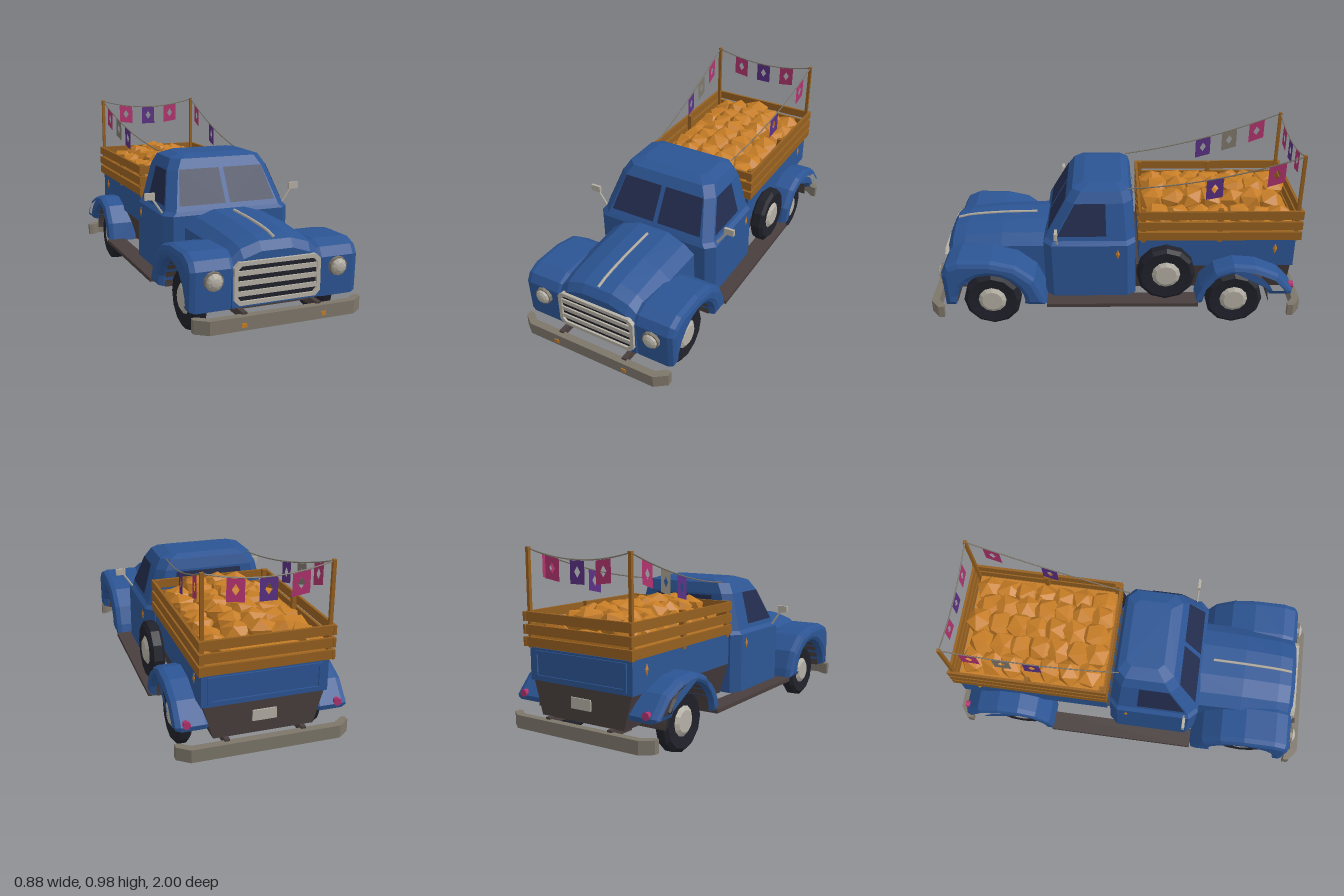
import * as THREE from 'three';

const D = THREE.DoubleSide;
const mat = (name, color, side = THREE.FrontSide) => {
  const m = new THREE.MeshStandardMaterial({ color, side });
  m.name = name;
  return m;
};

// faceted normals
const flat = (g) => {
  const n = g.index ? g.toNonIndexed() : g;
  n.computeVertexNormals();
  return n;
};

// skin over rings of [x, y, z] points, counter-clockwise seen from the last ring's end
function loft(rings) {
  const n = rings[0].length, pos = [], idx = [];
  rings.forEach((r) => r.forEach((p) => pos.push(...p)));
  for (let i = 0; i < rings.length - 1; i++) {
    for (let j = 0; j < n; j++) {
      const a = i * n + j, b = i * n + (j + 1) % n;
      idx.push(a, b, b + n, a, b + n, a + n);
    }
  }
  const last = (rings.length - 1) * n;
  for (let j = 1; j < n - 1; j++) idx.push(0, j + 1, j, last, last + j, last + j + 1);
  const g = new THREE.BufferGeometry();
  g.setAttribute('position', new THREE.Float32BufferAttribute(pos, 3));
  g.setIndex(idx);
  return flat(g);
}

function pane(points) {
  const g = new THREE.BufferGeometry();
  g.setAttribute('position', new THREE.Float32BufferAttribute(points.flat(), 3));
  g.setIndex([0, 1, 2, 0, 2, 3]);
  return flat(g);
}

// fender: [z, y] outline closed by a wheel arch, extruded across x with bevelled edges
function fender(outline, archZ, width) {
  const r = 0.185, b = 0.035, cy = 0.16;
  const s = new THREE.Shape(outline.map(([z, y]) => new THREE.Vector2(-z, y)));
  const [ez, ey] = outline[outline.length - 1], [sz, sy] = outline[0];
  const a0 = Math.atan2(ey - cy, archZ - ez), a1 = Math.atan2(sy - cy, archZ - sz);
  for (let i = 0; i <= 10; i++) {
    const a = a0 + (a1 - a0) * i / 10;
    s.lineTo(-archZ + r * Math.cos(a), cy + r * Math.sin(a));
  }
  const g = new THREE.ExtrudeGeometry(s, {
    depth: width - 2 * b, bevelEnabled: true, bevelThickness: b, bevelSize: 0.03, bevelOffset: -0.03, bevelSegments: 2,
  });
  g.translate(0, 0, b - width / 2).rotateY(Math.PI / 2);
  return flat(g);
}

export function createModel() {
  const truck = new THREE.Group();
  truck.name = 'pickupTruck';
  const M = {
    blue: mat('bluePaint', 0x2c5594),
    glass: mat('darkGlass', 0x232d4e, D),
    tyre: mat('blackRubber', 0x20212a),
    light: mat('paleMetal', 0xb5b0a5),
    grey: mat('greyMetal', 0x7d766a, D),
    frame: mat('brownChassis', 0x483e3d, D),
    wood: mat('wood', 0x96601f),
    orange: mat('orange', 0xc67d26),
    pink: mat('pink', 0xb0336e, D),
    purple: mat('purple', 0x5a3184, D),
  };
  const add = (name, g, m, x = 0, y = 0, z = 0) => {
    const mesh = new THREE.Mesh(g, m);
    mesh.name = name;
    mesh.position.set(x, y, z);
    truck.add(mesh);
    return mesh;
  };
  const box = (name, m, w, h, d, x, y, z) => add(name, new THREE.BoxGeometry(w, h, d), m, x, y, z);
  const sides = [1, -1];

  // cab: half width, back z, front z and corner cut at each height
  add('cab', loft([
    [0.17, 0.355, -0.11, 0.38, 0.045], [0.485, 0.355, -0.105, 0.385, 0.045], [0.505, 0.335, -0.1, 0.375, 0.045],
    [0.7, 0.285, -0.085, 0.265, 0.045], [0.755, 0.255, -0.07, 0.23, 0.045], [0.775, 0.19, -0.03, 0.17, 0.03],
  ].map(([y, x, b, f, c]) => [
    [x - c, y, f], [x, y, f - c], [x, y, b + c], [x - c, y, b],
    [c - x, y, b], [-x, y, b + c], [-x, y, f - c], [c - x, y, f],
  ])), M.blue);

  // windows, laid just over the sloping cab faces
  const k = (y) => (y - 0.505) / 0.195;
  const front = (x, y) => [x, y, 0.379 - 0.11 * k(y)];
  const back = (x, y) => [x, y, -0.104 + 0.015 * k(y)];
  for (const s of sides) {
    const side = (z, y) => [s * (0.339 - 0.05 * k(y)), y, z];
    add('windshield', pane([front(s * 0.013, 0.532), front(s * 0.27, 0.532), front(s * 0.235, 0.705), front(s * 0.013, 0.705)]), M.glass);
    add('sideWindow', pane([side(0.05, 0.53), side(0.31, 0.53), side(0.215, 0.7), side(0.055, 0.7)]), M.glass);
    if (s < 0) add('rearWindow', pane([back(-0.2, 0.55), back(0.2, 0.55), back(0.18, 0.69), back(-0.18, 0.69)]), M.glass);
    add('doorHandle', new THREE.OctahedronGeometry(0.03).scale(0.25, 1, 0.4), M.orange, s * 0.357, 0.435, -0.01);
    add('bedMarker', new THREE.OctahedronGeometry(0.032).scale(0.25, 1, 0.4), M.orange, s * 0.312, 0.44, -0.85);
    // mirrors
    box('mirror', M.light, 0.055, 0.036, 0.015, s * 0.412, 0.585, 0.31);
    const arm = new THREE.LineCurve3(new THREE.Vector3(s * 0.345, 0.495, 0.31), new THREE.Vector3(s * 0.4, 0.575, 0.31));
    add('mirrorArm', new THREE.TubeGeometry(arm, 1, 0.006, 5), M.light);
  }

  // hood
  add('hood', loft([
    [0.36, 0.25, 0.512], [0.62, 0.245, 0.507], [0.82, 0.24, 0.49], [0.89, 0.235, 0.472], [0.918, 0.228, 0.43],
  ].map(([z, x, t]) => [
    [x, 0.17, z], [x, t - 0.085, z], [x * 0.75, t - 0.035, z], [x * 0.35, t - 0.006, z],
    [-x * 0.35, t - 0.006, z], [-x * 0.75, t - 0.035, z], [-x, t - 0.085, z], [-x, 0.17, z],
  ])), M.blue);
  const ridge = [[0.508, 0.44], [0.504, 0.62], [0.488, 0.82], [0.472, 0.885]].map(([y, z]) => new THREE.Vector3(0, y, z));
  add('hoodTrim', new THREE.TubeGeometry(new THREE.CatmullRomCurve3(ridge), 8, 0.008, 5), M.light);

  // grille
  const ring = (w, h, c) => [[w - c, -h], [w, c - h], [w, h - c], [w - c, h], [c - w, h], [-w, h - c], [-w, c - h], [c - w, -h]]
    .map(([x, y]) => new THREE.Vector2(x, y));
  const grille = new THREE.Shape(ring(0.222, 0.102, 0.025));
  grille.holes.push(new THREE.Path(ring(0.203, 0.083, 0.018)));
  add('grilleFrame', new THREE.ExtrudeGeometry(grille, { depth: 0.022, bevelEnabled: false }), M.light, 0, 0.285, 0.912);
  box('grilleBack', M.tyre, 0.41, 0.17, 0.008, 0, 0.285, 0.918);
  for (const y of [0.237, 0.285, 0.333]) box('grilleBar', M.light, 0.41, 0.023, 0.014, 0, y, 0.924);

  // fenders, wheels and lamps
  const frontFender = fender([[0.855, 0.165], [0.912, 0.165], [0.92, 0.36], [0.895, 0.405], [0.83, 0.432], [0.66, 0.43],
    [0.53, 0.4], [0.43, 0.32], [0.385, 0.22], [0.37, 0.165], [0.485, 0.165]].reverse(), 0.67, 0.24);
  const rearFender = fender([[-0.455, 0.165], [-0.43, 0.165], [-0.45, 0.27], [-0.52, 0.365], [-0.62, 0.4], [-0.74, 0.39],
    [-0.86, 0.34], [-0.945, 0.245], [-0.94, 0.22], [-0.815, 0.22]].reverse(), -0.64, 0.185);
  const tyre = flat(new THREE.LatheGeometry([[0, -0.03], [0.08, -0.03], [0.135, -0.038], [0.155, -0.022], [0.155, 0.022],
    [0.135, 0.038], [0.08, 0.03], [0, 0.03]].map(([x, y]) => new THREE.Vector2(x, y)), 12).rotateZ(-Math.PI / 2));
  const hub = flat(new THREE.CylinderGeometry(0.055, 0.085, 0.02, 12).rotateZ(-Math.PI / 2));
  const liner = new THREE.CylinderGeometry(0.184, 0.184, 0.16, 12, 1, true, 0, Math.PI).rotateZ(Math.PI / 2);
  const wheel = (name, s, x, y, z) => {
    add(name, tyre, M.tyre, s * x, y, z);
    add('hubcap', hub, M.light, s * (x + 0.034), y, z).rotation.y = s < 0 ? Math.PI : 0;
  };
  // arch liner arranged over the top half of the wheel
  liner.computeBoundingBox();
  if (liner.boundingBox.max.y < 0.1) liner.rotateX(Math.PI);
  else if (liner.boundingBox.min.y < -0.1) liner.rotateX(liner.boundingBox.max.z > 0.1 ? -Math.PI / 2 : Math.PI / 2);
  for (const s of sides) {
    add('frontFender', frontFender, M.blue, s * 0.32, 0, 0);
    add('rearFender', rearFender, M.blue, s * 0.3425, 0, 0);
    for (const z of [0.67, -0.64]) {
      add('wheelArchLiner', liner, M.frame, s * 0.315, 0.16, z);
      wheel('wheel', s, 0.3375, 0.157, z);
    }
    add('headlightRim', flat(new THREE.CylinderGeometry(0.046, 0.05, 0.035, 10).rotateX(Math.PI / 2)), M.grey, s * 0.32, 0.312, 0.918);
    add('headlightLens', flat(new THREE.SphereGeometry(0.04, 10, 3, 0, Math.PI * 2, 0, Math.PI / 2).scale(1, 0.5, 1).rotateX(Math.PI / 2)), M.light, s * 0.32, 0.312, 0.935);
    add('tailLight', flat(new THREE.CylinderGeometry(0.018, 0.02, 0.025, 8).rotateX(Math.PI / 2)), M.pink, s * 0.375, 0.255, -0.938);
    box('runningBoard', M.frame, 0.105, 0.02, 0.81, s * 0.3825, 0.165, -0.035);
    for (const e of sides) box('bumperBracket', M.frame, 0.025, 0.035, 0.15, s * 0.19, 0.15, e * 0.9);
    box('turnSignal', M.orange, 0.026, 0.02, 0.008, s * 0.203, 0.117, 1.0);
  }
  wheel('spareWheel', 1, 0.37, 0.335, -0.265);

  // bumpers with swept-back ends
  const plan = [[0.43, 0.925], [0.43, 0.955], [0.37, 1], [-0.37, 1], [-0.43, 0.955], [-0.43, 0.925], [-0.405, 0.925], [-0.36, 0.96], [0.36, 0.96], [0.405, 0.925]];
  const bumper = new THREE.ExtrudeGeometry(new THREE.Shape(plan.map(([x, z]) => new THREE.Vector2(x, -z))), { depth: 0.066, bevelEnabled: false });
  bumper.rotateX(-Math.PI / 2);
  add('frontBumper', bumper, M.grey, 0, 0.091, 0);
  add('rearBumper', bumper, M.grey, 0, 0.091, 0).rotation.y = Math.PI;

  // chassis and cargo bed
  box('frontChassis', M.frame, 0.42, 0.02, 0.52, 0, 0.165, 0.64);
  const skirt = new THREE.Shape([[-0.25, 0.165], [0.25, 0.165], [0.3, 0.34], [-0.3, 0.34]].map(([x, y]) => new THREE.Vector2(x, y)));
  add('bedSkirt', new THREE.ExtrudeGeometry(skirt, { depth: 0.835, bevelEnabled: false }), M.frame, 0, 0, -0.945);
  box('bed', M.blue, 0.62, 0.16, 0.83, 0, 0.415, -0.54);
  for (const y of [0.355, 0.475]) box('tailgateTrim', M.blue, 0.56, 0.018, 0.012, 0, y, -0.957);
  for (const s of sides) box('tailgateTrim', M.blue, 0.018, 0.12, 0.012, s * 0.271, 0.415, -0.957);
  box('blankPlate', M.light, 0.12, 0.055, 0.008, 0, 0.255, -0.948);

  // stake sides and poles
  for (const y of [0.525, 0.585, 0.647]) {
    for (const s of sides) box('sidePlank', M.wood, 0.014, 0.046, 0.86, s * 0.321, y, -0.55);
    for (const z of [-0.125, -0.968]) box('endPlank', M.wood, 0.655, 0.046, 0.014, 0, y, z);
  }
  for (const s of sides) {
    for (const z of [-0.145, -0.55]) box('stake', M.wood, 0.025, 0.19, 0.025, s * 0.304, 0.58, z);
    box('flagPole', M.wood, 0.017, 0.485, 0.017, s * 0.307, 0.735, -0.952);
  }

  // heaped cargo
  let seed = 7;
  const rnd = () => (seed = (seed * 16807) % 2147483647) / 2147483647;
  box('cargoBase', M.orange, 0.6, 0.1, 0.79, 0, 0.535, -0.54);
  const lump = flat(new THREE.IcosahedronGeometry(0.1, 0));
  for (let i = 0; i < 7; i++) {
    for (let j = -2; j <= 2; j++) {
      const m = add('cargoLump', lump, M.orange, j * 0.105, 0.64 - 0.014 * j * j + rnd() * 0.015, -0.225 - i * 0.106 + (j % 2 ? 0.03 : 0));
      m.rotation.set(rnd() * 0.4, rnd() * 6, rnd() * 0.4);
      m.scale.set(0.85, 0.6, 0.85);
    }
  }

  // bunting: sagging ropes with pierced flags that follow the slope
  const V = (x, y, z) => new THREE.Vector3(x, y, z);
  const hang = (curve, flags) => {
    add('rope', new THREE.TubeGeometry(curve, 20, 0.0035, 5), M.grey);
    for (const [t, m] of flags) {
      const p = curve.getPoint(t), d = curve.getTangent(t), h = Math.hypot(d.x, d.z), k = d.y / h;
      const pts = (a) => a.map(([x, y]) => new THREE.Vector2(x, y + k * x));
      const s = new THREE.Shape(pts([[-0.043, -0.112], [0.043, -0.112], [0.043, -0.004], [-0.043, -0.004]]));
      s.holes.push(new THREE.Path(pts([[0, -0.083], [-0.018, -0.056], [0, -0.029], [0.018, -0.056]])));
      add('flag', new THREE.ShapeGeometry(s), m, p.x, p.y, p.z).rotation.y = Math.atan2(-d.z, d.x);
    }
  };
  hang(new THREE.QuadraticBezierCurve3(V(-0.307, 0.972, -0.952), V(0, 0.885, -0.952), V(0.307, 0.972, -0.952)),
    [[0.25, M.pink], [0.5, M.purple], [0.75, M.pink]]);
  for (const s of sides) {
    const flags = [[0.145, M.pink], [0.49, M.purple]];
    if (s < 0) flags.push([0.32, M.grey]);
    hang(new THREE.QuadraticBezierCurve3(V(s * 0.307, 0.972, -0.952), V(s * 0.28, 0.8, -0.5), V(s * 0.23, 0.76, -0.06)), flags);
  }
  return truck;
}
